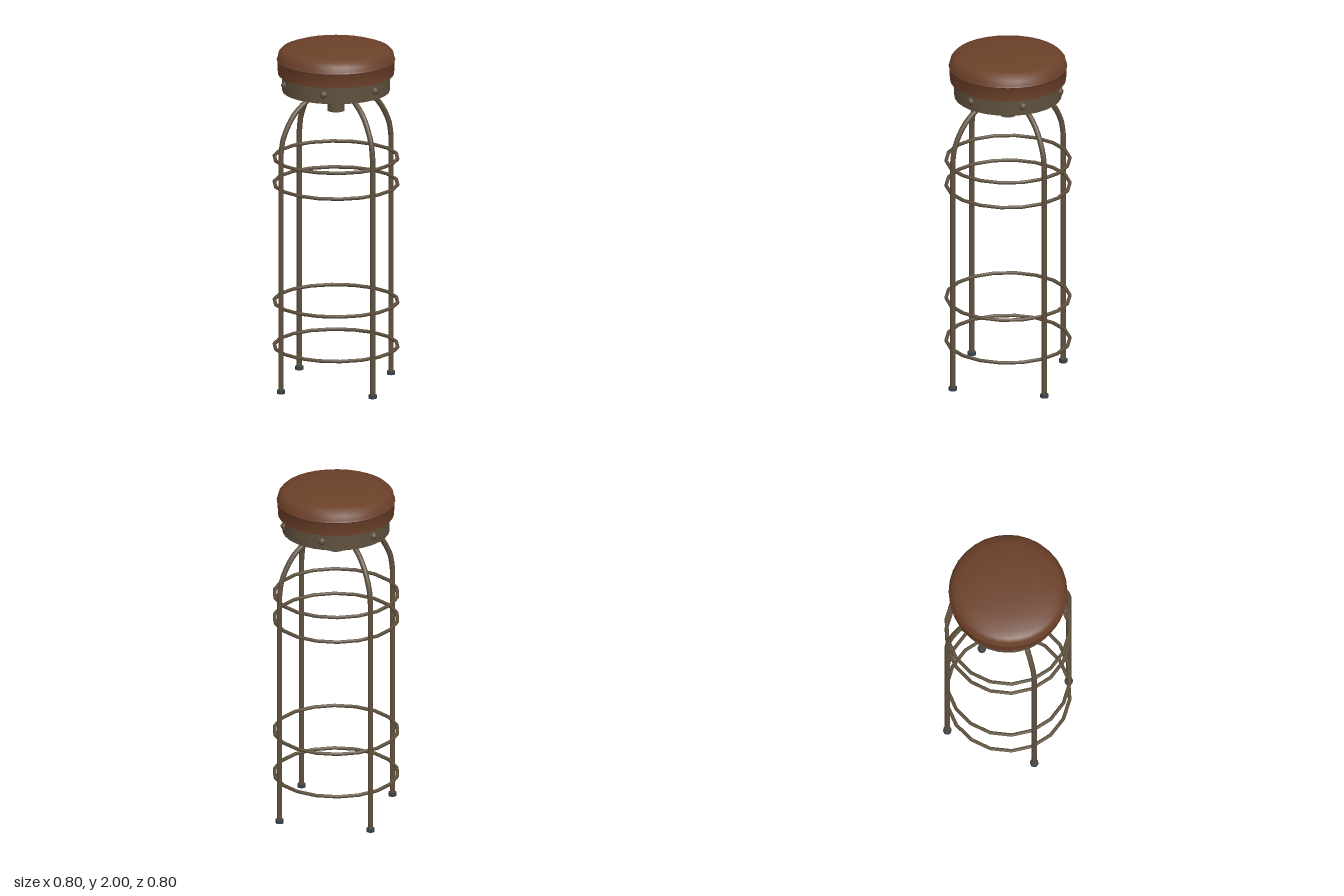
import * as THREE from 'three';
import { toCreasedNormals } from 'three/addons/utils/BufferGeometryUtils.js';

const paint = (name, color, side = THREE.FrontSide) => {
  const m = new THREE.MeshStandardMaterial({ color, side });
  m.name = name;
  return m;
};

export function createModel() {
  const leather = paint('brown leather', 0x6b4029);
  const metal = paint('aged bronze', 0x5e503d);
  const steel = paint('dark steel', 0x36424a);

  const stool = new THREE.Group();
  stool.name = 'barStool';
  const add = (name, geometry, material, x = 0, y = 0, z = 0, parent = stool) => {
    const mesh = new THREE.Mesh(geometry, material);
    mesh.name = name;
    mesh.position.set(x, y, z);
    parent.add(mesh);
    return mesh;
  };
  const lathe = (points, sides) =>
    toCreasedNormals(new THREE.LatheGeometry(points.map(p => new THREE.Vector2(...p)), sides), 0.7);

  // Padded cushion with a seam above its upright side
  add('cushion', lathe([
    [0, 1.825], [0.33, 1.825], [0.332, 1.9], [0.337, 1.908], [0.332, 1.917],
    [0.327, 1.945], [0.31, 1.964], [0.27, 1.978], [0.18, 1.992], [0.09, 1.998], [0, 2],
  ], 32), leather);

  // Hollow band under the cushion: bronze outside, steel inside
  add('bandOuter', lathe([[0.295, 1.725], [0.305, 1.725], [0.305, 1.825]], 32), metal);
  add('bandInner', lathe([[0.295, 1.825], [0.295, 1.725]], 32), steel);
  add('mountingPlate', new THREE.BoxGeometry(0.26, 0.06, 0.26), steel, 0, 1.79, 0);

  // Rivets around the band
  const rivetGeometry = new THREE.SphereGeometry(0.022, 10, 8);
  for (let i = 0; i < 6; i++) {
    const a = THREE.MathUtils.degToRad(17 + i * 60);
    add('rivet', rivetGeometry, metal, 0.302 * Math.cos(a), 1.778, 0.302 * Math.sin(a));
  }

  // Central post
  add('post', new THREE.CylinderGeometry(0.05, 0.05, 0.17, 16), metal, 0, 1.693, 0);

  // Four legs that bend inward to meet at the post
  const bend = new THREE.CatmullRomCurve3([
    [0.375, 1.4], [0.36, 1.49], [0.29, 1.617], [0.2, 1.69], [0.12, 1.725], [0, 1.74],
  ].map(([x, y]) => new THREE.Vector3(x, y, 0)));
  const bendGeometry = new THREE.TubeGeometry(bend, 14, 0.0155, 10);
  const legGeometry = new THREE.CylinderGeometry(0.0155, 0.0155, 1.39, 10);
  const footGeometry = new THREE.CylinderGeometry(0.024, 0.024, 0.02, 10);
  for (let i = 0; i < 4; i++) {
    const leg = new THREE.Group();
    leg.name = 'leg';
    leg.rotation.y = i * Math.PI / 2;
    stool.add(leg);
    add('legBend', bendGeometry, metal, 0, 0, 0, leg);
    add('legTube', legGeometry, metal, 0.375, 0.708, 0, leg);
    add('foot', footGeometry, steel, 0.375, 0.01, 0, leg);
  }

  // Bracing rings inside the legs
  const ringGeometry = new THREE.TorusGeometry(0.352, 0.0105, 8, 18);
  for (const y of [0.226, 0.488, 1.18, 1.332]) {
    add('ring', ringGeometry, metal, 0, y, 0).rotation.x = Math.PI / 2;
  }

  return stool;
}
